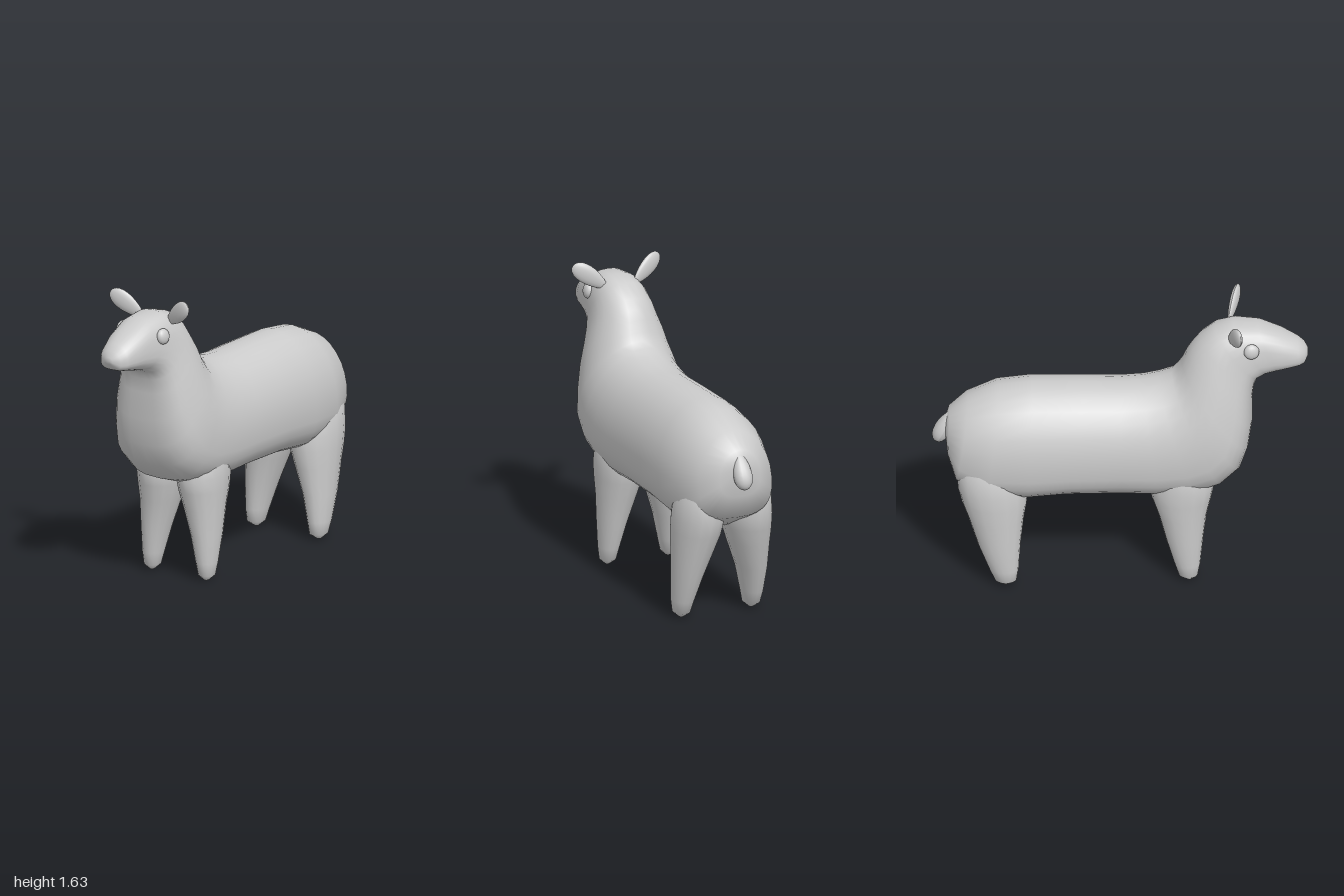
import * as THREE from 'three';

const material = new THREE.MeshStandardMaterial({ color: 0xcccccc });

// Smooth closed skin over a row of rings, with a fan closing each end
function loft(rings) {
  const n = rings[0].length, pos = [], idx = [];
  rings.forEach(r => r.forEach(p => pos.push(...p)));
  for (let i = 0; i < rings.length - 1; i++) {
    for (let j = 0; j < n; j++) {
      const k = (j + 1) % n;
      const a = i * n + j, b = i * n + k, c = a + n, d = b + n;
      idx.push(a, b, c, b, d, c);
    }
  }
  [0, rings.length - 1].forEach((r, end) => {
    const centre = pos.length / 3;
    pos.push(...[0, 1, 2].map(q => rings[r].reduce((s, p) => s + p[q], 0) / n));
    for (let j = 0; j < n; j++) {
      const a = r * n + j, b = r * n + (j + 1) % n;
      idx.push(centre, end ? a : b, end ? b : a);
    }
  });
  const g = new THREE.BufferGeometry();
  g.setAttribute('position', new THREE.Float32BufferAttribute(pos, 3));
  g.setIndex(idx);
  g.computeVertexNormals();
  return g;
}

function part(name, geometry) {
  const m = new THREE.Mesh(geometry, material);
  m.name = name;
  return m;
}

const signedPow = (v, e) => Math.sign(v) * Math.abs(v) ** e;

// Section between a top and a bottom point of the side profile, squarer below
function bodyRing([tz, ty, bz, by, w, topPower = 2]) {
  return Array.from({ length: 28 }, (_, j) => {
    const t = j / 28 * Math.PI * 2, s = Math.sin(t);
    const e = 2 / (s > 0 ? topPower : 2.8);
    const v = 0.42 + signedPow(s, e) * (s > 0 ? 0.58 : 0.42);
    return [w * signedPow(Math.cos(t), e), by + (ty - by) * v, (bz + (tz - bz) * v) * 1.011];
  });
}

// Horizontal oval of a leg
function legRing([y, x, z, rx, rz], side) {
  return Array.from({ length: 16 }, (_, j) => {
    const t = j / 16 * Math.PI * 2;
    return [side * x + rx * Math.cos(t), y, z - rz * Math.sin(t)];
  });
}

// Ellipsoid along y, wider (k > 0) or narrower (k < 0) towards its top
function drop(name, k, sx, sy, sz) {
  const g = new THREE.SphereGeometry(1, 16, 12), p = g.attributes.position;
  for (let i = 0; i < p.count; i++) {
    const f = 1 + k * p.getY(i);
    p.setXYZ(i, p.getX(i) * f * sx, p.getY(i) * sy, p.getZ(i) * f * sz);
  }
  g.computeVertexNormals();
  return part(name, g);
}

// top z, top y, bottom z, bottom y, half width, squareness of the top: rump to muzzle
const bodySections = [
  [-0.93, 0.93, -0.93, 0.85, 0.045],
  [-0.91, 1.00, -0.92, 0.74, 0.12],
  [-0.81, 1.08, -0.88, 0.61, 0.217],
  [-0.65, 1.15, -0.72, 0.52, 0.273],
  [-0.47, 1.17, -0.50, 0.51, 0.285],
  [-0.20, 1.165, -0.30, 0.53, 0.285],
  [0.00, 1.16, 0.00, 0.53, 0.28],
  [0.12, 1.17, 0.20, 0.52, 0.28],
  [0.20, 1.19, 0.40, 0.53, 0.28],
  [0.27, 1.215, 0.54, 0.58, 0.28],
  [0.30, 1.25, 0.64, 0.68, 0.275],
  [0.325, 1.29, 0.68, 0.80, 0.255],
  [0.35, 1.35, 0.70, 0.95, 0.23],
  [0.38, 1.40, 0.70, 1.10, 0.20],
  [0.42, 1.45, 0.71, 1.18, 0.178, 2.2],
  [0.50, 1.515, 0.73, 1.225, 0.157, 2.4],
  [0.60, 1.54, 0.78, 1.25, 0.142, 2.6],
  [0.73, 1.53, 0.84, 1.262, 0.127, 2.5],
  [0.85, 1.48, 0.90, 1.275, 0.112, 2.3],
  [0.94, 1.43, 0.95, 1.285, 0.09],
  [0.975, 1.40, 0.975, 1.295, 0.068],
  [0.995, 1.365, 0.995, 1.33, 0.025],
];

// y, x, z, x radius, z radius: hoof to hip, the top hidden in the trunk
const frontLeg = [
  [0, 0.18, 0.365, 0.012, 0.012],
  [0.03, 0.18, 0.36, 0.045, 0.052],
  [0.10, 0.177, 0.355, 0.057, 0.07],
  [0.25, 0.165, 0.34, 0.08, 0.10],
  [0.40, 0.145, 0.33, 0.107, 0.13],
  [0.50, 0.135, 0.325, 0.125, 0.16],
  [0.58, 0.13, 0.325, 0.133, 0.175],
  [0.68, 0.13, 0.32, 0.127, 0.16],
  [0.85, 0.12, 0.30, 0.08, 0.10],
];
const backLeg = [
  [0, 0.207, -0.62, 0.012, 0.012],
  [0.03, 0.207, -0.62, 0.047, 0.06],
  [0.10, 0.205, -0.63, 0.06, 0.08],
  [0.25, 0.19, -0.655, 0.083, 0.115],
  [0.40, 0.165, -0.67, 0.112, 0.148],
  [0.50, 0.15, -0.68, 0.13, 0.175],
  [0.58, 0.143, -0.69, 0.135, 0.185],
  [0.70, 0.14, -0.70, 0.125, 0.18],
  [0.85, 0.11, -0.70, 0.08, 0.12],
];

export function createModel() {
  const model = new THREE.Group();
  model.name = 'sheep';

  // Trunk, neck and head in one skin
  model.add(part('body', loft(bodySections.map(bodyRing))));

  for (const side of [1, -1]) {
    const prefix = side > 0 ? 'left' : 'right';

    // Legs
    model.add(part(prefix + 'FrontLeg', loft(frontLeg.map(r => legRing(r, side)))));
    model.add(part(prefix + 'BackLeg', loft(backLeg.map(r => legRing(r, side)))));

    // Eye
    const eye = drop(prefix + 'Eye', 0, 0.026, 0.043, 0.042);
    eye.position.set(side * 0.137, 1.435, 0.70);
    eye.rotation.set(0, side * -0.15, side * 0.15, 'YXZ');
    model.add(eye);

    // Ear, broad near its tip
    const ear = drop(prefix + 'Ear', 0.3, 0.05, 0.112, 0.022);
    ear.position.set(side * 0.168, 1.545, 0.61);
    ear.rotation.set(0, side * -0.32, side * -0.96, 'YXZ');
    model.add(ear);
  }

  // Tail, hanging and fuller at the bottom
  const tail = drop('tail', -0.3, 0.05, 0.105, 0.045);
  tail.position.set(0, 0.888, -0.945);
  tail.rotation.x = 0.45;
  model.add(tail);

  // The animal stands turned slightly to its left
  model.rotation.y = 0.15;
  model.position.x = 0.012;
  return model;
}
